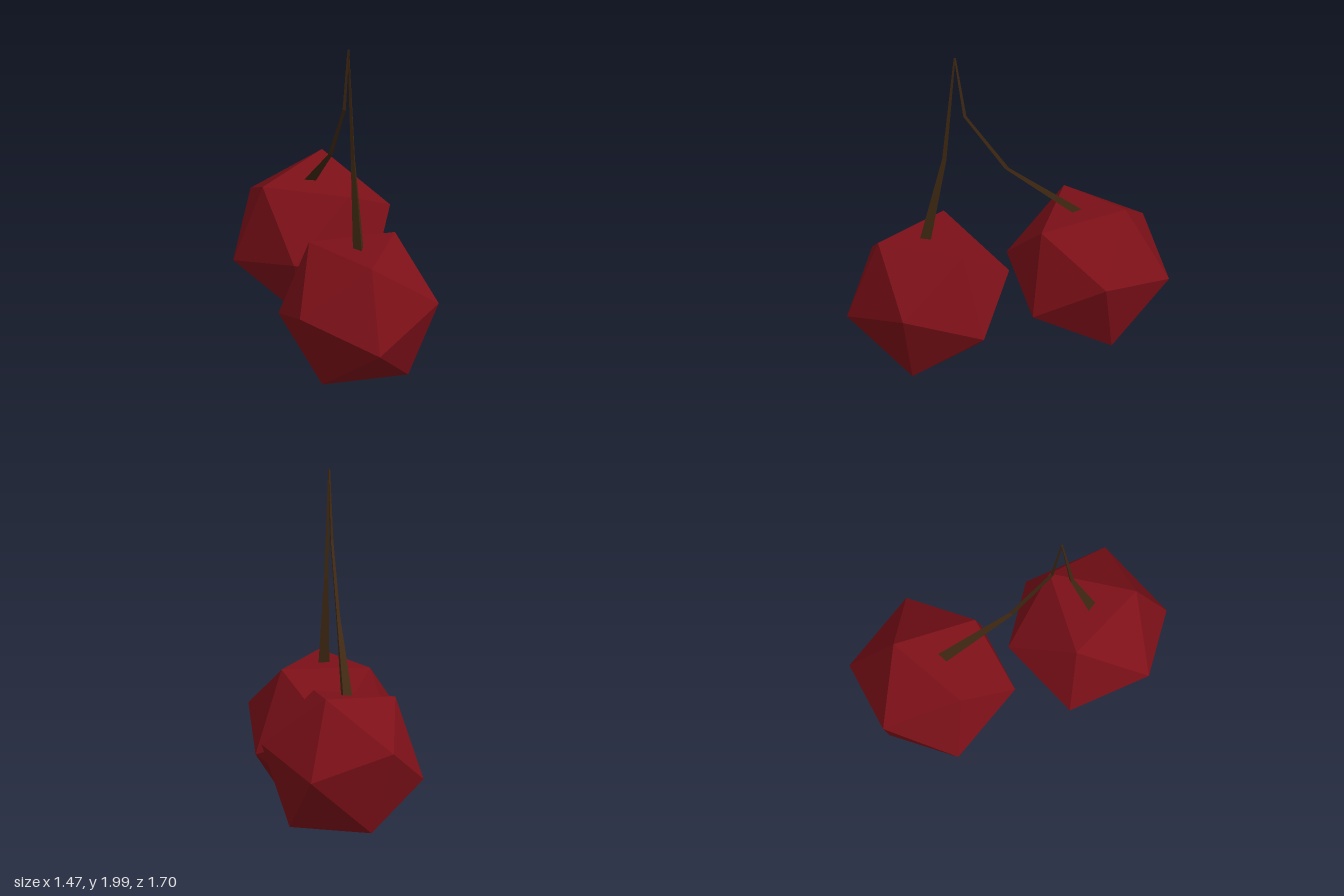
import * as THREE from 'three';

const v = (x, y, z) => new THREE.Vector3(x, y, z);

// Orthonormal frame from a face normal and one corner of that face
function faceFrame(normal, corner) {
  const n = normal.clone().normalize();
  const t = corner.clone().addScaledVector(n, -corner.dot(n)).normalize();
  return new THREE.Matrix4().makeBasis(t, n, t.clone().cross(n));
}

// Icosahedral fruit turned so one face has the given normal and corner
function makeCherry(name, radius, center, normal, corner, material) {
  const geometry = new THREE.IcosahedronGeometry(radius, 0);
  const p = geometry.attributes.position;
  const [a, b, c] = [0, 1, 2].map((i) => v(0, 0, 0).fromBufferAttribute(p, i));
  const local = faceFrame(a.clone().add(b).add(c), a);
  geometry.applyMatrix4(faceFrame(normal, corner).multiply(local.transpose()));
  const mesh = new THREE.Mesh(geometry, material);
  mesh.name = name;
  mesh.position.copy(center);
  return mesh;
}

// Three-sided stem lofted from the tip down; each section is [x, y, z, radius]
function makeStem(name, sections, startAngle, material) {
  const positions = [];
  const index = [];
  for (const [x, y, z, r] of sections) {
    for (let i = 0; i < 3; i++) {
      const a = startAngle + (i * Math.PI * 2) / 3;
      positions.push(x + r * Math.cos(a), y, z + r * Math.sin(a));
    }
  }
  for (let s = 0; s < sections.length - 1; s++) {
    for (let i = 0; i < 3; i++) {
      const j = (i + 1) % 3;
      const u = s * 3;
      const l = u + 3;
      index.push(u + i, u + j, l + i, u + j, l + j, l + i);
    }
  }
  const e = (sections.length - 1) * 3;
  index.push(2, 1, 0, e, e + 1, e + 2);
  let geometry = new THREE.BufferGeometry();
  geometry.setAttribute('position', new THREE.Float32BufferAttribute(positions, 3));
  geometry.setIndex(index);
  geometry = geometry.toNonIndexed();
  geometry.computeVertexNormals();
  const mesh = new THREE.Mesh(geometry, material);
  mesh.name = name;
  return mesh;
}

export function createModel() {
  const group = new THREE.Group();
  group.name = 'cherries';
  const red = new THREE.MeshStandardMaterial({ color: 0x7d1018, flatShading: true });
  const brown = new THREE.MeshStandardMaterial({ color: 0x3f2812, flatShading: true });

  // Fruit
  group.add(
    makeCherry('frontCherry', 0.493, v(-0.255, 0.4, 0.405), v(0, 1, 0), v(0.295, 0.39, 0.035), red),
    makeCherry('backCherry', 0.49, v(0.297, 0.445, -0.38), v(-0.154, 1.155, 0.11), v(0.21, 0.435, -0.09), red)
  );

  // Stems, joined at the tip
  group.add(
    makeStem('frontStem', [
      [-0.172, 2.0, 0.265, 0.006],
      [-0.2, 1.32, 0.322, 0.015],
      [-0.263, 0.78, 0.417, 0.038],
    ], 0, brown),
    makeStem('backStem', [
      [-0.172, 2.0, 0.263, 0.006],
      [-0.143, 1.585, 0.21, 0.011],
      [-0.003, 1.18, -0.003, 0.015],
      [0.242, 0.825, -0.345, 0.04],
    ], Math.PI / 2, brown)
  );
  return group;
}
